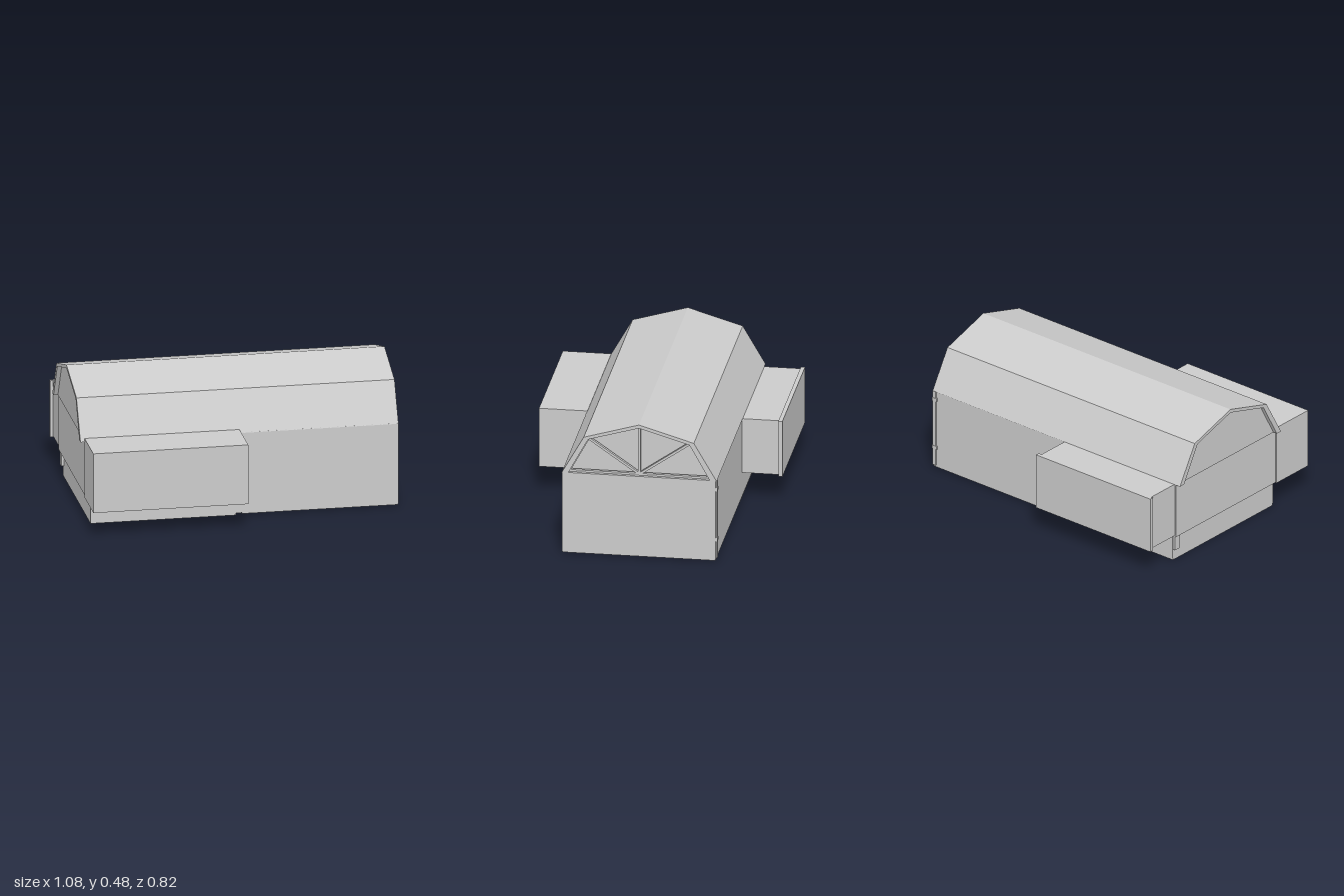
import * as THREE from 'three';

const material = new THREE.MeshStandardMaterial({ color: 0xcccccc, flatShading: true, side: THREE.DoubleSide });

// Gambrel profiles as [z, y], outer skin and inner opening
const OUTER = [[0.185, 0.29], [0.11, 0.422], [-0.077, 0.477], [-0.263, 0.422], [-0.34, 0.29]];
const INNER = [[0.163, 0.29], [0.095, 0.415], [-0.077, 0.465], [-0.248, 0.415], [-0.318, 0.29]];

export function createModel() {
  const model = new THREE.Group();

  const add = (name, geometry) => {
    const mesh = new THREE.Mesh(geometry, material);
    mesh.name = name;
    model.add(mesh);
    return mesh;
  };

  // Box given by its limits on each axis
  const box = (name, x0, x1, y0, y1, z0, z1) => {
    const g = new THREE.BoxGeometry(x1 - x0, y1 - y0, z1 - z0);
    g.translate((x0 + x1) / 2, (y0 + y1) / 2, (z0 + z1) / 2);
    return add(name, g);
  };

  // Profile in the z-y plane drawn out along x
  const prism = (name, points, x0, x1) => {
    const shape = new THREE.Shape(points.map(([z, y]) => new THREE.Vector2(-z, y)));
    const g = new THREE.ExtrudeGeometry(shape, { depth: x1 - x0, bevelEnabled: false });
    g.rotateY(Math.PI / 2);
    g.translate(x0, 0, 0);
    return add(name, g);
  };

  // Straight timber between two [z, y] points on the gable
  const bar = (name, a, b, x, width = 0.008) => {
    const dz = b[0] - a[0], dy = b[1] - a[1];
    const mesh = add(name, new THREE.BoxGeometry(0.012, width, Math.hypot(dz, dy)));
    mesh.position.set(x, (a[1] + b[1]) / 2, (a[0] + b[0]) / 2);
    mesh.rotation.x = -Math.atan2(dy, dz);
  };

  // Main hall and floor slabs with the joint between them
  box('hall', -0.05, 0.997, 0.008, 0.292, -0.337, 0.184);
  box('floorSlabLeft', 0.465, 0.995, 0.004, 0.01, -0.335, 0.182);
  box('floorSlabRight', -0.05, 0.445, 0, 0.01, -0.335, 0.182);
  box('endWallPanel', -0.065, -0.05, 0.092, 0.292, -0.337, 0.184);
  box('endWallBracket', -0.06, -0.05, 0.04, 0.092, -0.335, -0.31);

  // Roof shell, open at both ends
  prism('roofShell', [...OUTER, ...INNER.slice().reverse()], -0.085, 0.988);
  prism('gableWallRight', INNER, -0.07, -0.06);
  prism('gableWallLeft', INNER, 0.955, 0.965);

  // Trim following the edge of the open gable
  prism('gableTrim', [...OUTER, ...INNER.slice().reverse()], 0.988, 0.997);

  // Gable truss: rim, king post and two diagonal struts
  const foot = [-0.077, 0.296], x = 0.98;
  for (let i = 0; i < INNER.length - 1; i++) bar('trussRim', INNER[i], INNER[i + 1], x, 0.007);
  bar('trussTie', [0.163, 0.295], [-0.318, 0.295], x);
  bar('trussKingPost', foot, INNER[2], x);
  bar('trussStrut', foot, INNER[1], x);
  bar('trussStrut', foot, INNER[3], x);

  // Front annex
  box('frontAnnex', -0.07, 0.457, 0.092, 0.301, 0.18, 0.344);

  // Back annex with a wider cap on its outer wall
  box('backAnnex', -0.06, 0.42, 0.096, 0.29, -0.465, -0.33);
  box('backAnnexCap', -0.07, 0.43, 0.093, 0.292, -0.476, -0.462);

  // Back corner strip with its fixings
  box('cornerStrip', 0.982, 0.995, 0.013, 0.29, -0.342, -0.335);
  for (const y of [0.08, 0.26]) box('cornerFixing', 0.978, 0.998, y - 0.006, y + 0.006, -0.343, -0.333);

  return model;
}
